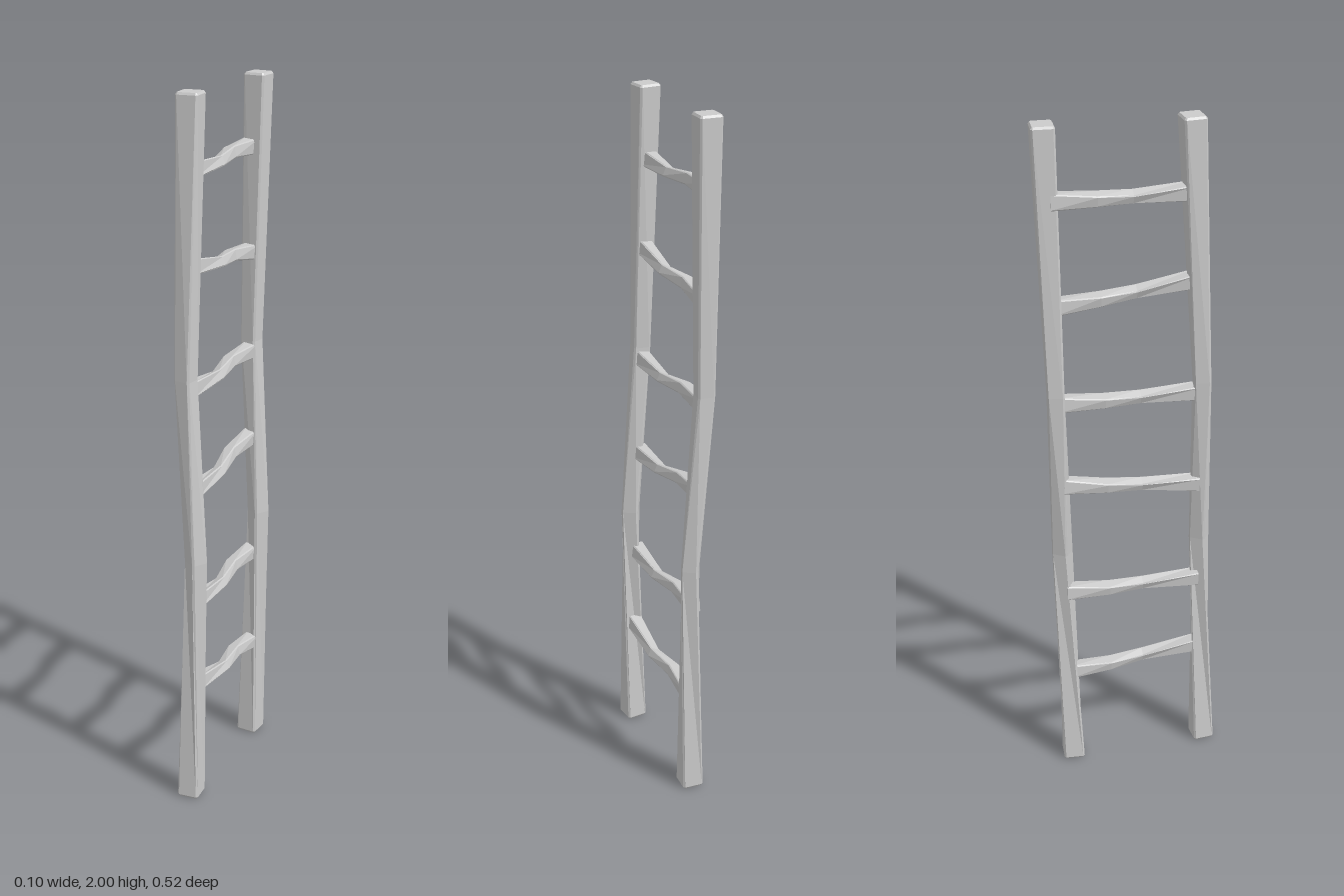
import * as THREE from 'three';

const material = new THREE.MeshStandardMaterial({ color: 0xcccccc, flatShading: true });

// Square outline with narrow chamfered corners, turned by an angle
function outline(halfW, halfH, angle, c) {
  const w = halfW - c, h = halfH - c;
  const pts = [
    [halfW, -h], [halfW, h], [w, halfH], [-w, halfH],
    [-halfW, h], [-halfW, -h], [-w, -halfH], [w, -halfH],
  ];
  const cos = Math.cos(angle), sin = Math.sin(angle);
  return pts.map(([u, v]) => [u * cos - v * sin, u * sin + v * cos]);
}

// Hewn beam through cross-sections; upright beams run up, the others run front to back
function beam(name, sections, upright) {
  const positions = [], index = [], n = 8;
  for (const { x, y, z, w, h, deg, c = 0.005 } of sections) {
    for (const [u, v] of outline(w, h, THREE.MathUtils.degToRad(deg), c)) {
      positions.push(x + u, upright ? y : y + v, upright ? z + v : z);
    }
  }
  for (let s = 0; s < sections.length - 1; s++) {
    for (let i = 0; i < n; i++) {
      const a = s * n + i, b = s * n + (i + 1) % n;
      index.push(a, a + n, b + n, a, b + n, b);
    }
  }
  const last = (sections.length - 1) * n;
  for (let i = 1; i < n - 1; i++) {
    index.push(0, i, i + 1);
    index.push(last, last + i + 1, last + i);
  }
  const geometry = new THREE.BufferGeometry();
  geometry.setAttribute('position', new THREE.Float32BufferAttribute(positions, 3));
  geometry.setIndex(index);
  const flat = geometry.toNonIndexed();
  flat.computeVertexNormals();
  const mesh = new THREE.Mesh(flat, material);
  mesh.name = name;
  return mesh;
}

// Rail from rows of [x, y, z, half width, twist in degrees], with bevelled ends
function rail(name, rows) {
  const sections = rows.map(([x, y, z, w, deg]) => ({ x, y, z, w, h: w, deg }));
  const bevel = (s, dy) => ({ ...s, y: s.y + dy, w: s.w - 0.004, h: s.h - 0.004, c: 0.003 });
  const first = sections[0], end = sections[sections.length - 1];
  const list = [bevel(first, 0), ...sections, bevel(end, 0)];
  first.y += 0.006;
  end.y -= 0.006;
  return beam(name, list, true);
}

// Rung with a wavy, pinched and twisted middle
function rung(name, x, yFront, yBack, zFront, zBack) {
  const shape = [
    // t, x shift, y shift, half width, half height, twist
    [0, 0, 0, 0.019, 0.022, 4],
    [0.42, 0.009, -0.006, 0.015, 0.014, 24],
    [0.68, -0.007, 0.0, 0.017, 0.016, 12],
    [1, 0, 0, 0.019, 0.022, -4],
  ];
  return beam(name, shape.map(([t, dx, dy, w, h, deg]) => ({
    x: x + dx,
    y: THREE.MathUtils.lerp(yFront, yBack, t) + dy,
    z: THREE.MathUtils.lerp(zFront, zBack, t),
    w, h, deg, c: 0.003,
  })), false);
}

export function createModel() {
  const ladder = new THREE.Group();
  ladder.name = 'ladder';

  ladder.add(rail('frontRail', [
    [0.008, 0, 0.226, 0.031, -5],
    [0.018, 0.73, 0.207, 0.024, 32],
    [-0.013, 1.25, 0.197, 0.024, 8],
    [-0.015, 2, 0.156, 0.031, -5],
  ]));
  ladder.add(rail('backRail', [
    [0.006, 0, -0.179, 0.031, 4],
    [0.018, 0.73, -0.197, 0.024, 32],
    [-0.013, 1.25, -0.211, 0.024, 8],
    [-0.005, 2, -0.228, 0.031, 3],
  ]));

  // Rungs: x, front height, back height, front depth, back depth
  const rungs = [
    [0.012, 0.35, 0.31, 0.2, -0.184],
    [0.002, 0.597, 0.602, 0.2, -0.19],
    [-0.006, 0.923, 0.963, 0.195, -0.195],
    [-0.012, 1.218, 1.222, 0.19, -0.203],
    [-0.013, 1.552, 1.508, 0.175, -0.21],
    [-0.02, 1.8, 1.802, 0.16, -0.215],
  ];
  rungs.forEach((r, i) => ladder.add(rung(`rung${i + 1}`, ...r)));
  return ladder;
}
